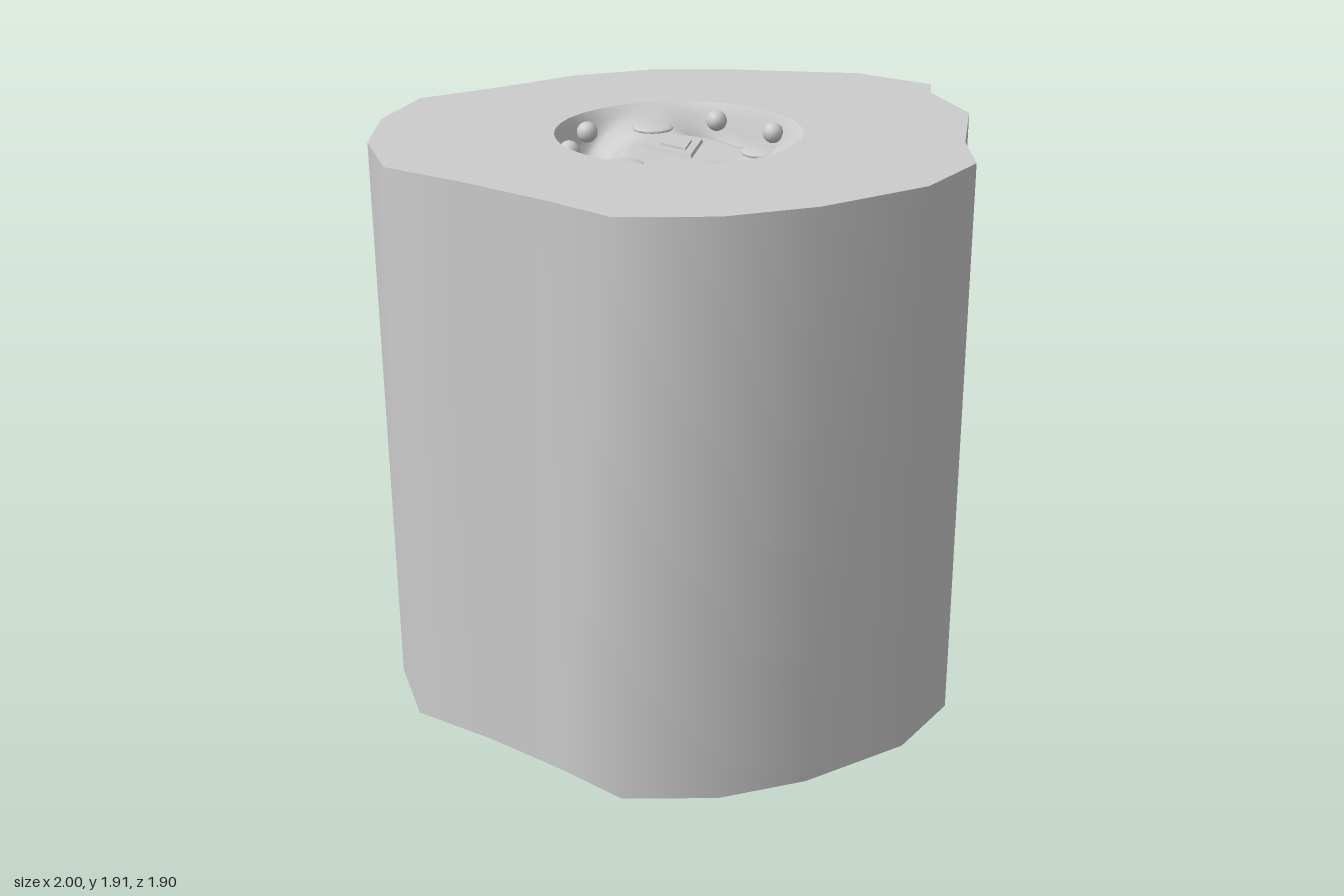
import * as THREE from 'three';

const TOP = 1.91;
const CX = -0.08, CZ = -0.01, RIM = 0.4; // recess centre and radius
const SEG = 72;
const LOBE = THREE.MathUtils.degToRad(-4); // direction of the first hollow
const THIRD = (Math.PI * 2) / 3;

// Block outline seen from above, as x, z
const OUTLINE = [
  [-0.39, -0.955], [-0.1, -0.885], [0.2, -0.835], [0.465, -0.705], [0.675, -0.495],
  [0.95, -0.13], [1, 0.165], [0.9, 0.245], [0.765, 0.51], [0.46, 0.725],
  [0.285, 0.9], [-0.01, 0.95], [-0.385, 0.86], [-0.65, 0.725], [-0.865, 0.51],
  [-0.89, 0.25], [-0.935, -0.05], [-1, -0.345], [-0.865, -0.61], [-0.655, -0.82],
];

const material = new THREE.MeshStandardMaterial({ color: 0xcccccc, side: THREE.DoubleSide });

function add(group, name, geometry) {
  const mesh = new THREE.Mesh(geometry, material);
  mesh.name = name;
  group.add(mesh);
  return mesh;
}

function indexed(positions, indices) {
  const g = new THREE.BufferGeometry();
  g.setAttribute('position', new THREE.Float32BufferAttribute(positions, 3));
  g.setIndex(indices);
  g.computeVertexNormals();
  return g;
}

// Smooth vertical wall around the outline
function wallGeometry() {
  const positions = [], indices = [], n = OUTLINE.length;
  OUTLINE.forEach(([x, z], i) => {
    positions.push(x, 0, z, x, TOP, z);
    const a = i * 2, b = ((i + 1) % n) * 2;
    indices.push(a, a + 1, b, a + 1, b + 1, b);
  });
  return indexed(positions, indices);
}

// Depth of the recess: shallow dish plus three deep hollows near the rim
function recessDepth(r, angle) {
  const t = r / RIM;
  const dish = 0.06 * (1 - t ** 5);
  const lobe = ((1 + Math.cos(3 * (angle - LOBE))) / 2) ** 1.3;
  const inner = THREE.MathUtils.smoothstep(r, 0.16, 0.31);
  const outer = 1 - THREE.MathUtils.smoothstep(r, 0.35, RIM);
  return dish + 0.13 * lobe * inner * outer;
}

function recessGeometry() {
  const positions = [], indices = [], rings = 28;
  for (let j = 0; j <= rings; j++) {
    const r = (RIM * j) / rings;
    for (let i = 0; i < SEG; i++) {
      const a = (i / SEG) * Math.PI * 2;
      positions.push(CX + r * Math.cos(a), TOP - recessDepth(r, a), CZ + r * Math.sin(a));
      if (j === rings) continue;
      const p = j * SEG + i, q = j * SEG + ((i + 1) % SEG);
      if (j > 0) indices.push(p, q, p + SEG);
      indices.push(q, q + SEG, p + SEG);
    }
  }
  return indexed(positions, indices);
}

export function createModel() {
  const group = new THREE.Group();
  group.name = 'blockWithRecess';

  // Solid block: wall, base and top with a round opening
  add(group, 'wall', wallGeometry());
  const baseShape = new THREE.Shape(OUTLINE.map(([x, z]) => new THREE.Vector2(x, z)));
  add(group, 'base', new THREE.ShapeGeometry(baseShape).rotateX(Math.PI / 2));

  const topShape = new THREE.Shape(OUTLINE.map(([x, z]) => new THREE.Vector2(x, -z)));
  const opening = [];
  for (let i = 0; i < SEG; i++) {
    const a = (i / SEG) * Math.PI * 2;
    opening.push(new THREE.Vector2(CX + RIM * Math.cos(a), -CZ - RIM * Math.sin(a)));
  }
  topShape.holes.push(new THREE.Path(opening));
  add(group, 'topFace', new THREE.ShapeGeometry(topShape).rotateX(-Math.PI / 2).translate(0, TOP, 0));

  add(group, 'recess', recessGeometry());

  // Rounded bumps: a small pair at each hollow, a flat one between hollows
  const bump = (name, angle, r, depth, size, flat) => {
    const mesh = add(group, name, new THREE.SphereGeometry(size, 16, 10));
    mesh.scale.y = flat;
    mesh.position.set(CX + r * Math.cos(angle), TOP - depth, CZ + r * Math.sin(angle));
  };
  for (let k = 0; k < 3; k++) {
    const a = LOBE + k * THIRD;
    for (const side of [-1, 1]) bump('rimBump', a + side * 0.35, 0.355, 0.05, 0.035, 1);
    bump('flatBump', a + THIRD / 2, 0.27, 0.054, 0.07, 0.2);
  }

  // Stepped triangle in the middle of the recess
  [[0.12, 0.012], [0.065, 0.02]].forEach(([r, h]) => {
    const plate = new THREE.CylinderGeometry(r * 0.95, r, h, 3, 1, false, Math.PI / 2 - LOBE);
    const mesh = add(group, 'centreTriangle', plate.toNonIndexed());
    mesh.geometry.computeVertexNormals();
    mesh.position.set(CX, TOP - 0.06 + h / 2, CZ);
  });

  return group;
}
